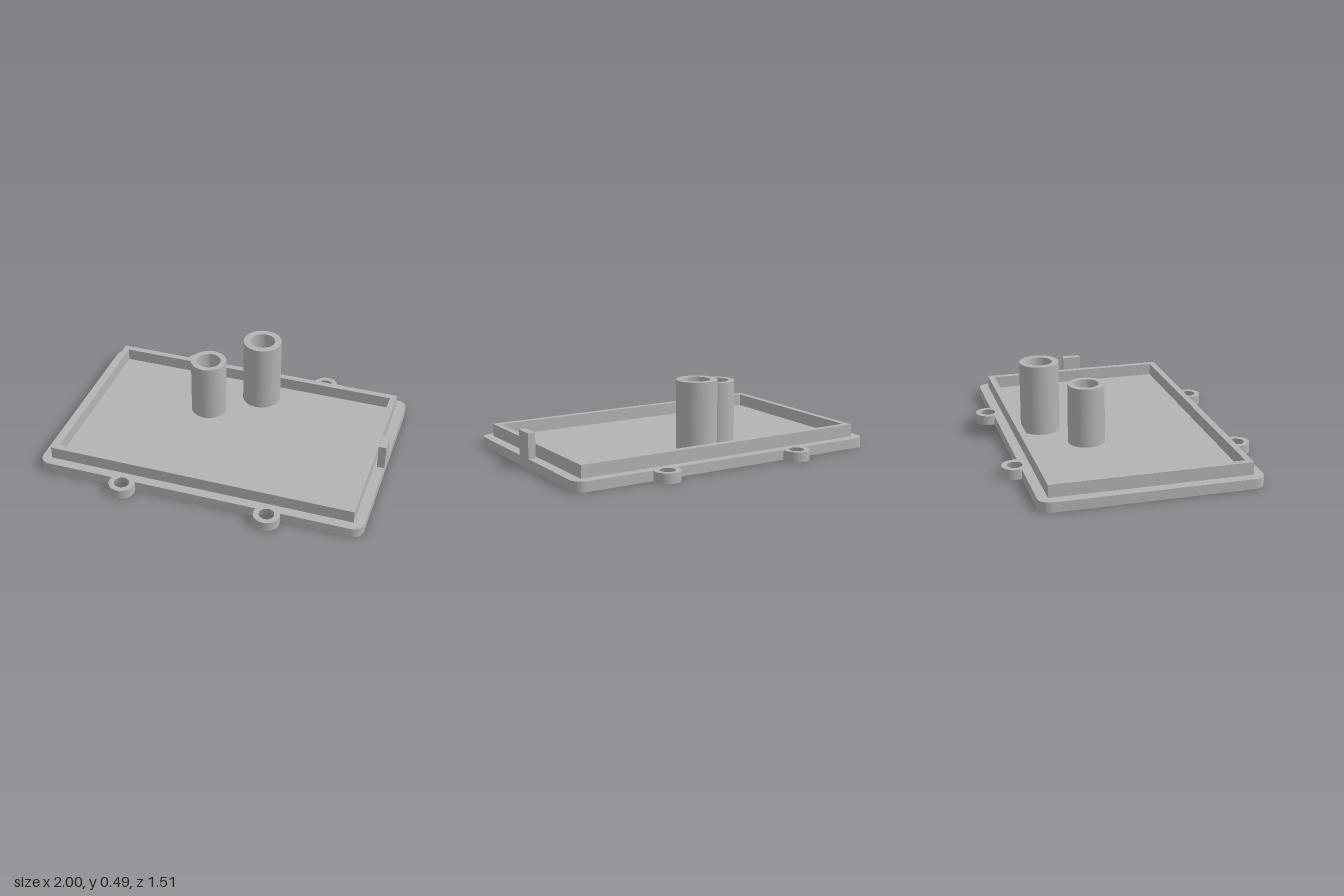
import * as THREE from 'three';
import { toCreasedNormals } from 'three/addons/utils/BufferGeometryUtils.js';

const PLATE_H = 0.06, HALF_Z = 0.65, CORNER = 0.07;
const EAR = { x: 0.447, z: 0.677, r: 0.078, hole: 0.045, sink: 0.07 };
const TALL = { x: 0.086, z: -0.412, r: 0.12, hole: 0.078, top: 0.492 };
const SHORT = { x: -0.198, z: -0.19, r: 0.111, hole: 0.075, top: 0.425 };

export function createModel() {
  const group = new THREE.Group();
  const grey = new THREE.MeshStandardMaterial({ color: 0xb3b3b3 });
  grey.name = 'grey plastic';

  function add(name, geometry, x = 0, y = 0, z = 0) {
    const mesh = new THREE.Mesh(toCreasedNormals(geometry, 0.6), grey);
    mesh.name = name;
    mesh.position.set(x, y, z);
    group.add(mesh);
  }

  // Extrude a plan shape upwards (shape y becomes -z)
  function slab(shape, depth) {
    return new THREE.ExtrudeGeometry(shape, { depth, bevelEnabled: false, curveSegments: 32 })
      .rotateX(-Math.PI / 2);
  }

  function lathe(points) {
    return new THREE.LatheGeometry(points.map(([r, y]) => new THREE.Vector2(r, y)), 48);
  }

  function circle(x, y, r) {
    return new THREE.Path().absarc(x, y, r, 0, Math.PI * 2, true);
  }

  function rect(path, w, d) {
    path.moveTo(-w, -d).lineTo(w, -d).lineTo(w, d).lineTo(-w, d).closePath();
    return path;
  }

  // Base plate outline: rounded corners plus four screw ears
  const a = Math.asin((EAR.z - HALF_Z) / EAR.r);
  const cx = 1 - CORNER, cy = HALF_Z - CORNER, q = Math.PI / 2;
  const outline = new THREE.Shape();
  outline.absarc(-cx, -cy, CORNER, 2 * q, 3 * q, false);
  for (const s of [-1, 1]) outline.absarc(s * EAR.x, -EAR.z, EAR.r, Math.PI - a, 2 * Math.PI + a, false);
  outline.absarc(cx, -cy, CORNER, -q, 0, false);
  outline.absarc(cx, cy, CORNER, 0, q, false);
  for (const s of [1, -1]) outline.absarc(s * EAR.x, EAR.z, EAR.r, -a, Math.PI + a, false);
  outline.absarc(-cx, cy, CORNER, q, 2 * q, false);
  outline.closePath();
  outline.holes.push(circle(TALL.x, -TALL.z, TALL.hole));
  for (const sx of [-1, 1]) {
    for (const sz of [-1, 1]) {
      outline.holes.push(circle(sx * EAR.x, sz * EAR.z, EAR.sink));
      // Screw hole widening towards the underside
      add('screwHole', lathe([[EAR.sink, PLATE_H], [EAR.hole, PLATE_H], [EAR.sink, 0]]),
        sx * EAR.x, 0, sz * EAR.z);
    }
  }
  add('basePlate', slab(outline, PLATE_H));

  // Raised rectangular lip
  const lip = rect(new THREE.Shape(), 0.938, 0.591);
  lip.holes.push(rect(new THREE.Path(), 0.9, 0.551));
  add('lip', slab(lip, 0.076), 0, PLATE_H, 0);

  // Hollow posts: the tall one opens through the plate, the short one is blind
  for (const [name, p] of [['tallPost', TALL], ['shortPost', SHORT]]) {
    add(name, lathe([[p.r, PLATE_H], [p.r, p.top], [p.hole, p.top], [p.hole, PLATE_H]]), p.x, 0, p.z);
  }

  // Upright tab on the left edge
  add('sideTab', new THREE.BoxGeometry(0.045, 0.152, 0.12), 0.9775, 0.136, 0);

  return group;
}
